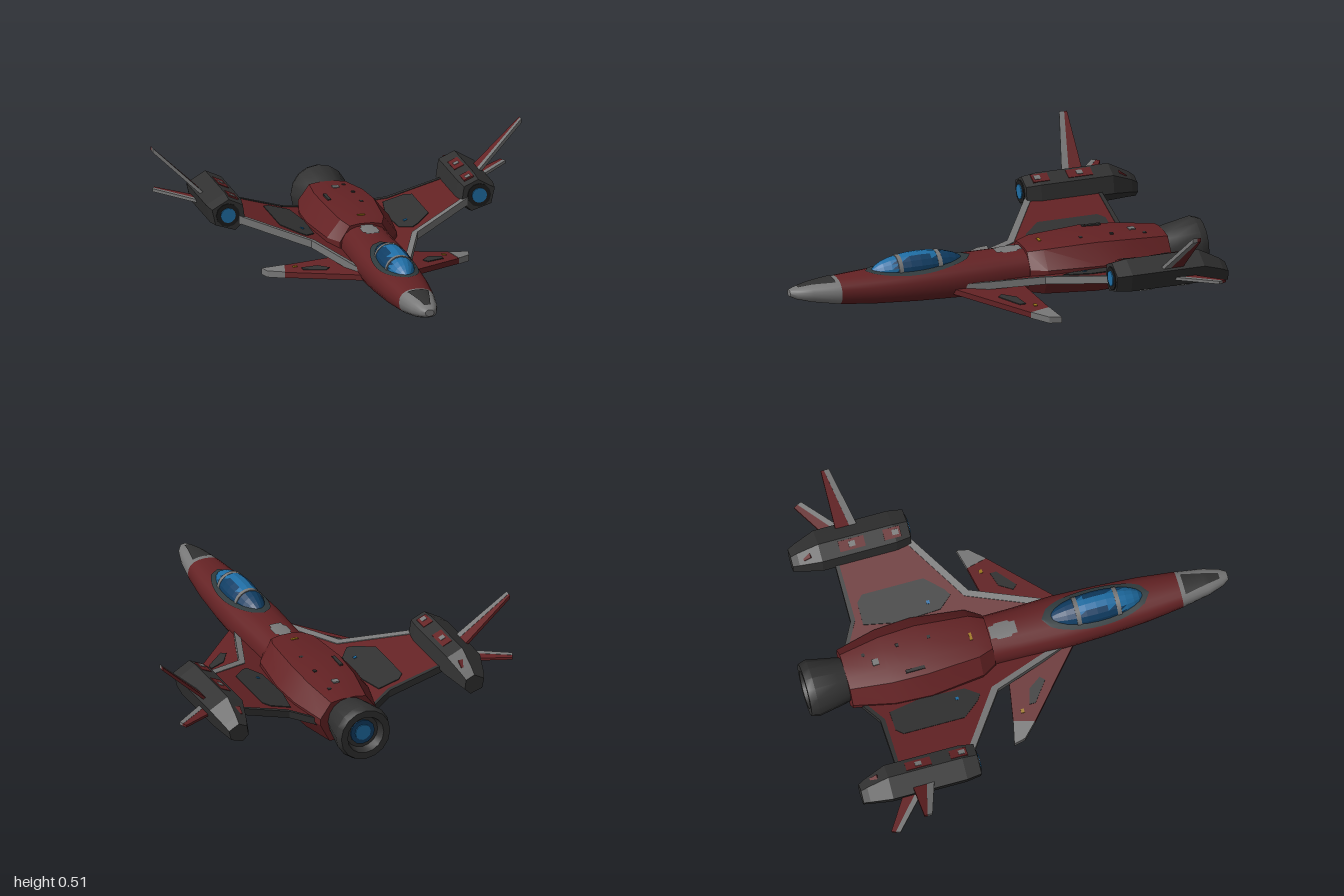
import * as THREE from 'three';
import { toCreasedNormals } from 'three/addons/utils/BufferGeometryUtils.js';

const paint = (name, color) => Object.assign(new THREE.MeshStandardMaterial({ color }), { name });

export function createModel() {
  const model = new THREE.Group();
  model.name = 'starfighter';
  const red = paint('hull red', 0x642224), dark = paint('dark grey', 0x313131);
  const grey = paint('light grey', 0x787878), navy = paint('dark glass', 0x103d63);
  const blue = paint('bright glass', 0x1f6ea5), yellow = paint('marker yellow', 0xa07818);
  const black = paint('intake black', 0x1d1d1d);
  const rimMat = paint('canopy rim', 0x2f3a3d);
  rimMat.side = THREE.DoubleSide;
  const darkSheet = paint('dark sheet', 0x313131), greySheet = paint('grey sheet', 0x787878);
  darkSheet.side = greySheet.side = THREE.DoubleSide;

  const add = (name, geo, mat) => {
    const mesh = new THREE.Mesh(geo, mat);
    mesh.name = name;
    model.add(mesh);
    return mesh;
  };
  // Mirror across x and flip the winding
  const mirrored = (geo) => {
    const g = (geo.index ? geo.toNonIndexed() : geo.clone()).scale(-1, 1, 1);
    for (const a of Object.values(g.attributes)) {
      const n = a.itemSize;
      for (let i = 0; i < a.count; i += 3) {
        for (let k = 0; k < n; k++) {
          const p = (i + 1) * n + k, q = p + n, v = a.array[p];
          a.array[p] = a.array[q];
          a.array[q] = v;
        }
      }
    }
    g.computeVertexNormals();
    return g;
  };
  const pair = (name, geo, mat) => {
    add(name + 'Left', geo, mat);
    add(name + 'Right', mirrored(geo), mat);
  };
  // Skin over rings of [x, y, z], counter-clockwise from the front, front ring first
  const loft = (rings, crease = 0.1) => {
    const pos = [], n = rings[0].length;
    const tri = (...p) => p.forEach((v) => pos.push(...v));
    const mid = (r) => [0, 1, 2].map((k) => r.reduce((s, p) => s + p[k], 0) / n);
    const first = rings[0], last = rings[rings.length - 1];
    for (let j = 0; j < n; j++) {
      const k = (j + 1) % n;
      tri(mid(first), first[j], first[k]);
      tri(mid(last), last[k], last[j]);
      for (let i = 0; i + 1 < rings.length; i++) {
        const a = rings[i], b = rings[i + 1];
        tri(a[j], b[j], a[k]);
        tri(a[k], b[j], b[k]);
      }
    }
    const g = new THREE.BufferGeometry();
    g.setAttribute('position', new THREE.Float32BufferAttribute(pos, 3));
    g.computeVertexNormals();
    return toCreasedNormals(g, crease);
  };
  // Flat slab from a plan outline of [x, z], sheared upward by height(x)
  const slab = (outline, t, height, lift = 0) => {
    const shape = new THREE.Shape(outline.map(([x, z]) => new THREE.Vector2(x, -z)));
    const g = new THREE.ExtrudeGeometry(shape, { depth: t, bevelEnabled: false }).rotateX(-Math.PI / 2);
    const p = g.attributes.position;
    for (let i = 0; i < p.count; i++) p.setY(i, p.getY(i) - t / 2 + lift + height(p.getX(i)));
    g.computeVertexNormals();
    return g;
  };

  // Forward fuselage: z, half width, bottom, top
  const body = [[1, 0.02, 0.145, 0.175], [0.97, 0.04, 0.13, 0.182], [0.9, 0.062, 0.11, 0.195],
    [0.77, 0.084, 0.084, 0.207], [0.6, 0.105, 0.068, 0.215], [0.4, 0.118, 0.055, 0.222],
    [0.2, 0.125, 0.047, 0.228], [0, 0.118, 0.042, 0.23], [-0.2, 0.115, 0.035, 0.235]];
  const N = 2.4;
  const bodyRing = ([z, w, y0, y1]) => Array.from({ length: 20 }, (_, i) => {
    const a = (i / 20) * Math.PI * 2, c = Math.cos(a), s = Math.sin(a);
    const e = (v) => Math.sign(v) * Math.abs(v) ** (2 / N);
    return [w * e(c), (y0 + y1) / 2 + ((y1 - y0) / 2) * e(s), z];
  });
  add('noseCone', loft(body.slice(0, 4).map(bodyRing), 0.6), grey);
  add('forwardFuselage', loft(body.slice(3).map(bodyRing), 0.6), red);

  // Thin sheets that follow the top of the fuselage
  const topAt = (x, z) => {
    let i = 0;
    while (i < body.length - 2 && z < body[i + 1][0]) i++;
    const a = body[i], b = body[i + 1], t = (a[0] - z) / (a[0] - b[0]);
    const [w, y0, y1] = [1, 2, 3].map((k) => a[k] + (b[k] - a[k]) * t);
    return (y0 + y1) / 2 + ((y1 - y0) / 2) * Math.max(0, 1 - Math.abs(x / w) ** N) ** (1 / N);
  };
  const patch = (name, mat, z0, z1, half) => {
    const g = new THREE.PlaneGeometry(1, 1, 8, 16).rotateX(-Math.PI / 2);
    const p = g.attributes.position;
    for (let i = 0; i < p.count; i++) {
      const t = p.getZ(i) + 0.5, z = z0 + (z1 - z0) * t, x = p.getX(i) * 2 * half(t);
      p.setXYZ(i, x, topAt(x, z) + 0.004, z);
    }
    g.computeVertexNormals();
    add(name, g, mat);
  };
  patch('nosePanel', darkSheet, 0.79, 0.96, (t) => 0.05 - 0.036 * t);
  patch('canopyRim', rimMat, 0.12, 0.63, (t) => 0.094 * Math.sqrt(Math.max(0, 1 - (2 * t - 1) ** 2)));
  patch('spineHatch', greySheet, -0.125, 0, (t) => (t < 0.2 || t > 0.8 ? 0.03 : 0.04));

  // Canopy glass with a bright centre strip
  const glass = new THREE.SphereGeometry(1, 16, 14).rotateX(Math.PI / 2)
    .scale(0.075, 0.075, 0.225).translate(0, 0.205, 0.375).toNonIndexed();
  const gp = glass.attributes.position;
  for (let i = 0; i < gp.count; i += 3) {
    const cx = (gp.getX(i) + gp.getX(i + 1) + gp.getX(i + 2)) / 3;
    const cz = (gp.getZ(i) + gp.getZ(i + 1) + gp.getZ(i + 2)) / 3;
    glass.addGroup(i, 3, cz > 0.49 || (Math.abs(cx) < 0.036 && cz > 0.29) ? 1 : 0);
  }
  glass.computeVertexNormals();
  add('canopy', glass, [navy, blue]);
  for (const z of [0.285, 0.475]) {
    const r = 0.0775 * Math.sqrt(1 - ((z - 0.375) / 0.225) ** 2);
    add('canopyBand', new THREE.CylinderGeometry(r, r, 0.02, 20).rotateX(Math.PI / 2).translate(0, 0.205, z), grey);
  }

  // Faceted rear hull
  const half = [[1, -0.1], [1, 0.2], [0.62, 0.92], [0.25, 1]], low = [[0.25, -1], [0.68, -0.95]];
  const flip = (list) => list.map(([x, y]) => [-x, y]).reverse();
  const hullRing = [...half, ...flip(half), ...flip(low), ...low];
  const hull = [[-0.13, 0.122, 0.04, 0.243], [-0.2, 0.165, 0.03, 0.255], [-0.45, 0.195, 0.018, 0.265],
    [-0.62, 0.185, 0.02, 0.255], [-0.81, 0.14, 0.03, 0.235]];
  add('rearHull', loft(hull.map(([z, w, y0, y1]) =>
    hullRing.map(([x, y]) => [x * w, (y0 + y1) / 2 + (y * (y1 - y0)) / 2, z])), 0.3), red);
  const chip = (name, mat, x, y, z, w, d) => add(name, new THREE.BoxGeometry(w, 0.008, d).translate(x, y, z), mat);
  chip('hullHatch', grey, 0, 0.252, -0.665, 0.03, 0.03);
  chip('hullMarker', yellow, 0, 0.256, -0.215, 0.035, 0.012);
  chip('hullVent', dark, -0.085, 0.26, -0.5, 0.015, 0.09);
  for (const z of [-0.4, -0.55, -0.71]) chip('hullSlot', dark, 0.05, z < -0.7 ? 0.243 : 0.26, z, 0.015, 0.015);

  // Main engine
  const nozzle = [[0, 0.8], [0.1, 0.8], [0.112, 0.85], [0.133, 0.965], [0.122, 1], [0.09, 1], [0.078, 0.96], [0, 0.96]];
  add('engineNozzle', toCreasedNormals(new THREE.LatheGeometry(nozzle.map(([r, y]) => new THREE.Vector2(r, y)), 16)
    .rotateX(-Math.PI / 2).translate(0, 0.133, 0), 0.5), dark);
  const disc = (r, x, y, z) => new THREE.CylinderGeometry(r, r, 0.008, 12).rotateX(Math.PI / 2).translate(x, y, z);
  add('engineGlow', disc(0.06, 0, 0.133, -0.963), navy);
  add('engineCore', disc(0.038, 0, 0.133, -0.968), blue);

  // Main wings
  const wingY = (x) => 0.085 + 0.28 * x;
  pair('wing', slab([[0.1, 0.2], [0.12, 0.18], [0.25, -0.16], [0.56, -0.37], [0.56, -0.7], [0.25, -0.7],
    [0.13, -0.77], [0.08, -0.77]], 0.028, wingY), red);
  pair('wingLeadingEdge', slab([[0.115, 0.2], [0.25, -0.155], [0.56, -0.365], [0.56, -0.4], [0.23, -0.18],
    [0.1, 0.16]], 0.036, wingY), grey);
  pair('wingTrailingEdge', slab([[0.56, -0.695], [0.56, -0.712], [0.25, -0.712], [0.12, -0.785], [0.12, -0.765],
    [0.25, -0.69]], 0.034, wingY), dark);
  const panel = [[0.35, -0.34], [0.35, -0.63], [0.32, -0.66], [0.22, -0.66], [0.19, -0.5], [0.2, -0.3], [0.25, -0.24], [0.28, -0.26]];
  pair('wingPanelTop', slab(panel, 0.006, wingY, 0.015), dark);
  pair('wingPanelBottom', slab([[0.47, -0.37], [0.47, -0.67], [0.2, -0.67], [0.2, -0.24], [0.26, -0.22]],
    0.006, wingY, -0.015), dark);
  pair('wingMarker', slab([[0.25, -0.34], [0.25, -0.355], [0.235, -0.355], [0.235, -0.34]], 0.006, wingY, 0.019), blue);

  // Canards
  const canY = (x) => 0.122 - 0.15 * x;
  pair('canard', slab([[0.08, 0.27], [0.12, 0.235], [0.41, -0.025], [0.385, -0.122], [0.26, -0.1], [0.08, -0.07]],
    0.026, canY), red);
  pair('canardTip', slab([[0.41, -0.025], [0.475, -0.09], [0.487, -0.145], [0.385, -0.122]], 0.03, canY), grey);
  for (const lift of [0.014, -0.014]) {
    pair('canardPanel', slab([[0.33, -0.03], [0.33, 0], [0.24, 0.07], [0.22, 0.05], [0.26, -0.01]], 0.006, canY, lift), dark);
  }
  pair('canardMarker', slab([[0.36, -0.06], [0.36, -0.075], [0.342, -0.075], [0.342, -0.06]], 0.006, canY, 0.014), yellow);

  // Wingtip nacelles
  const hex = [[0.084, 0.033], [-0.005, 0.084], [-0.08, 0.05], [-0.093, -0.033], [-0.04, -0.084], [0.065, -0.05]];
  const cx = 0.592, cy = 0.262;
  const pod = [[-0.35, 0.88, 0], [-0.42, 1, 0], [-0.77, 1, 0], [-0.87, 0.68, -0.027], [-0.9, 0.55, -0.04]];
  pair('nacelle', loft(pod.map(([z, s, d]) => hex.map(([x, y]) => [cx + x * s, cy + d + y * s, z]))), dark);
  pair('nacelleIntake', disc(0.055, cx, cy, -0.349), black);
  pair('nacelleLens', disc(0.035, cx, cy, -0.344), blue);
  const onTop = (w, d, z, lift = 0) => new THREE.BoxGeometry(w, 0.008, d).rotateZ(0.42)
    .translate(cx - 0.037, cy + 0.068 + lift, z);
  pair('nacelleStripeFront', onTop(0.05, 0.08, -0.43), red);
  pair('nacelleStripeRear', onTop(0.05, 0.12, -0.62), red);
  pair('nacelleTailPatch', new THREE.BoxGeometry(0.05, 0.008, 0.04).rotateX(-0.62).translate(cx - 0.02, cy + 0.036, -0.83), red);
  for (const z of [-0.415, -0.62]) pair('nacelleHatch', onTop(0.025, 0.03, z, 0.003), grey);
  for (const z of [-0.5, -0.68]) {
    pair('nacelleUnderHatch', new THREE.CylinderGeometry(0.042, 0.042, 0.008, 8).rotateZ(0.31)
      .translate(cx + 0.012, cy - 0.068, z), grey);
  }

  // Fins on the nacelles, with grey leading edges
  const upperY = (x) => 0.313 + 0.94 * (x - 0.665);
  pair('upperFin', slab([[0.65, -0.6], [0.868, -0.662], [0.868, -0.678], [0.65, -0.67]], 0.018, upperY), red);
  pair('upperFinEdge', slab([[0.65, -0.57], [0.868, -0.64], [0.868, -0.664], [0.65, -0.605]], 0.021, upperY), grey);
  const lowerY = (x) => 0.25 + 0.12 * (x - 0.68);
  pair('lowerFin', slab([[0.64, -0.64], [0.825, -0.8], [0.815, -0.82], [0.64, -0.71]], 0.012, lowerY), red);
  pair('lowerFinEdge', slab([[0.64, -0.61], [0.832, -0.782], [0.824, -0.802], [0.64, -0.645]], 0.014, lowerY), grey);

  return model;
}
